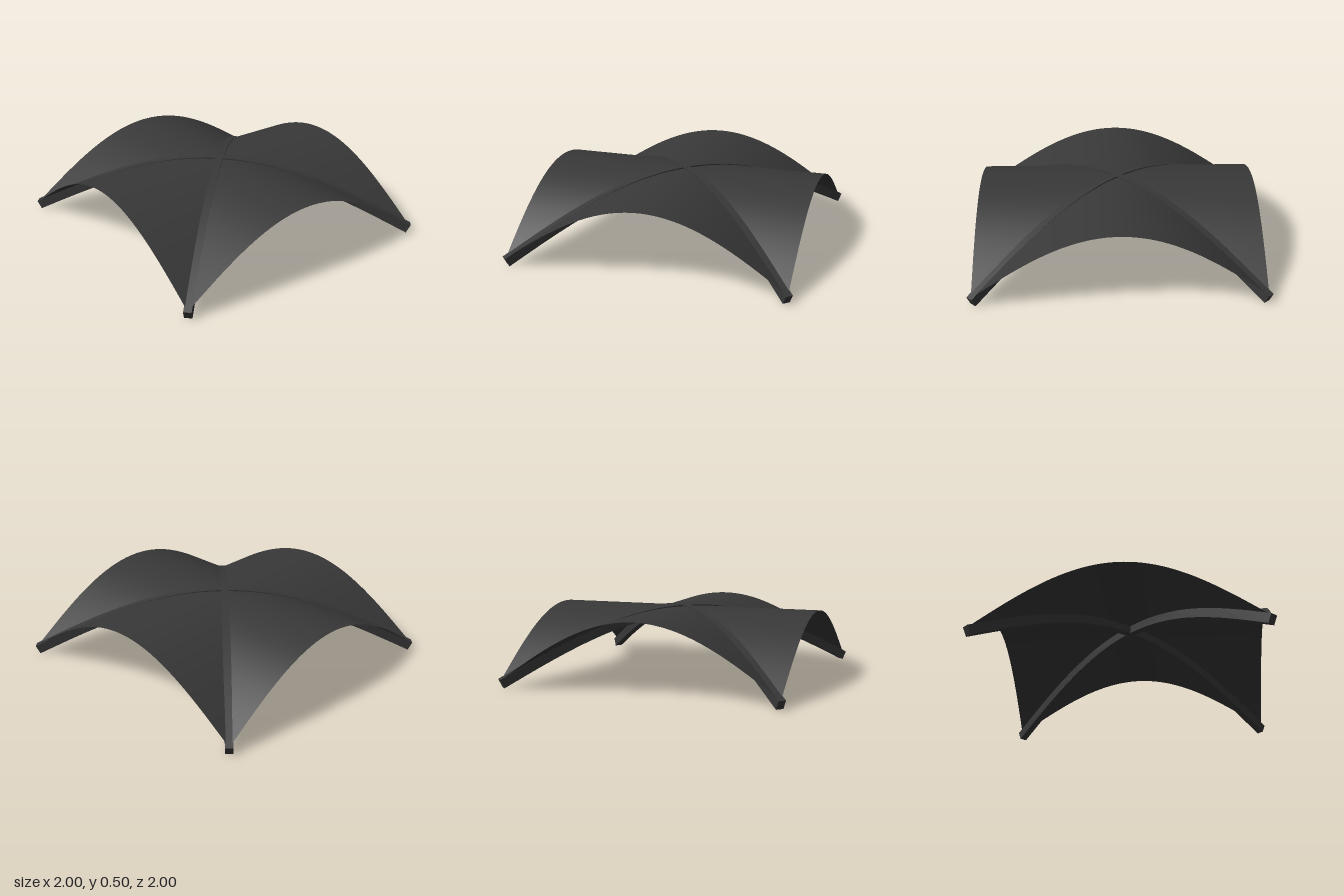
import * as THREE from 'three';
import { toCreasedNormals } from 'three/addons/utils/BufferGeometryUtils.js';

const HALF = 0.97;                 // half side of the square plan
const K = Math.PI / 2 / HALF;
const RIB_WIDTH = 0.053, RIB_DEPTH = 0.065;

// Shell profile: cosine arch across the span
const shellY = t => 0.055 + 0.435 * Math.cos(K * t);
const shellSlope = t => -0.435 * K * Math.sin(K * t);

// One quarter of the groin vault: from the diagonals out to the +z edge
function webGeometry() {
  const g = new THREE.PlaneGeometry(2, 1, 64, 12).rotateX(-Math.PI / 2);
  const p = g.attributes.position, n = g.attributes.normal;
  const normal = new THREE.Vector3();
  for (let i = 0; i < p.count; i++) {
    const x = p.getX(i) * HALF, v = p.getZ(i) + 0.5;
    const z = Math.abs(x) + (HALF - Math.abs(x)) * v;
    p.setXYZ(i, x, shellY(x), z);
    normal.set(-shellSlope(x), 1, 0).normalize();
    n.setXYZ(i, normal.x, normal.y, normal.z);
  }
  return g;
}

// Arched rectangular rib, outlined in its vertical plane and extruded to width
function ribGeometry() {
  const N = 48, top = [], bottom = [];
  for (let i = 0; i <= N; i++) {
    const t = HALF * (2 * i / N - 1);
    const d = t * Math.SQRT2, y = 0.029 + 0.4385 * Math.cos(K * t);
    const slope = -0.4385 * K * Math.sin(K * t) / Math.SQRT2;
    const off = new THREE.Vector2(-slope, 1).setLength(RIB_DEPTH / 2);
    top.push(new THREE.Vector2(d + off.x, y + off.y));
    bottom.push(new THREE.Vector2(d - off.x, y - off.y));
  }
  const shape = new THREE.Shape([...bottom, ...top.reverse()]);
  const g = new THREE.ExtrudeGeometry(shape, { depth: RIB_WIDTH, bevelEnabled: false });
  g.translate(0, 0, -RIB_WIDTH / 2);
  return toCreasedNormals(g, 0.5);
}

export function createModel() {
  const model = new THREE.Group();
  model.name = 'crossVault';
  const charcoal = new THREE.MeshStandardMaterial({ color: 0x383838, side: THREE.DoubleSide });
  charcoal.name = 'charcoal';

  // Four curved webs
  const web = webGeometry();
  ['front', 'left', 'back', 'right'].forEach((side, i) => {
    const mesh = new THREE.Mesh(web, charcoal);
    mesh.name = side + 'Web';
    mesh.rotation.y = i * Math.PI / 2;
    model.add(mesh);
  });

  // Two crossing diagonal ribs
  const rib = ribGeometry();
  [1, -1].forEach((s, i) => {
    const mesh = new THREE.Mesh(rib, charcoal);
    mesh.name = 'diagonalRib' + (i + 1);
    mesh.rotation.y = s * Math.PI / 4;
    model.add(mesh);
  });
  return model;
}
